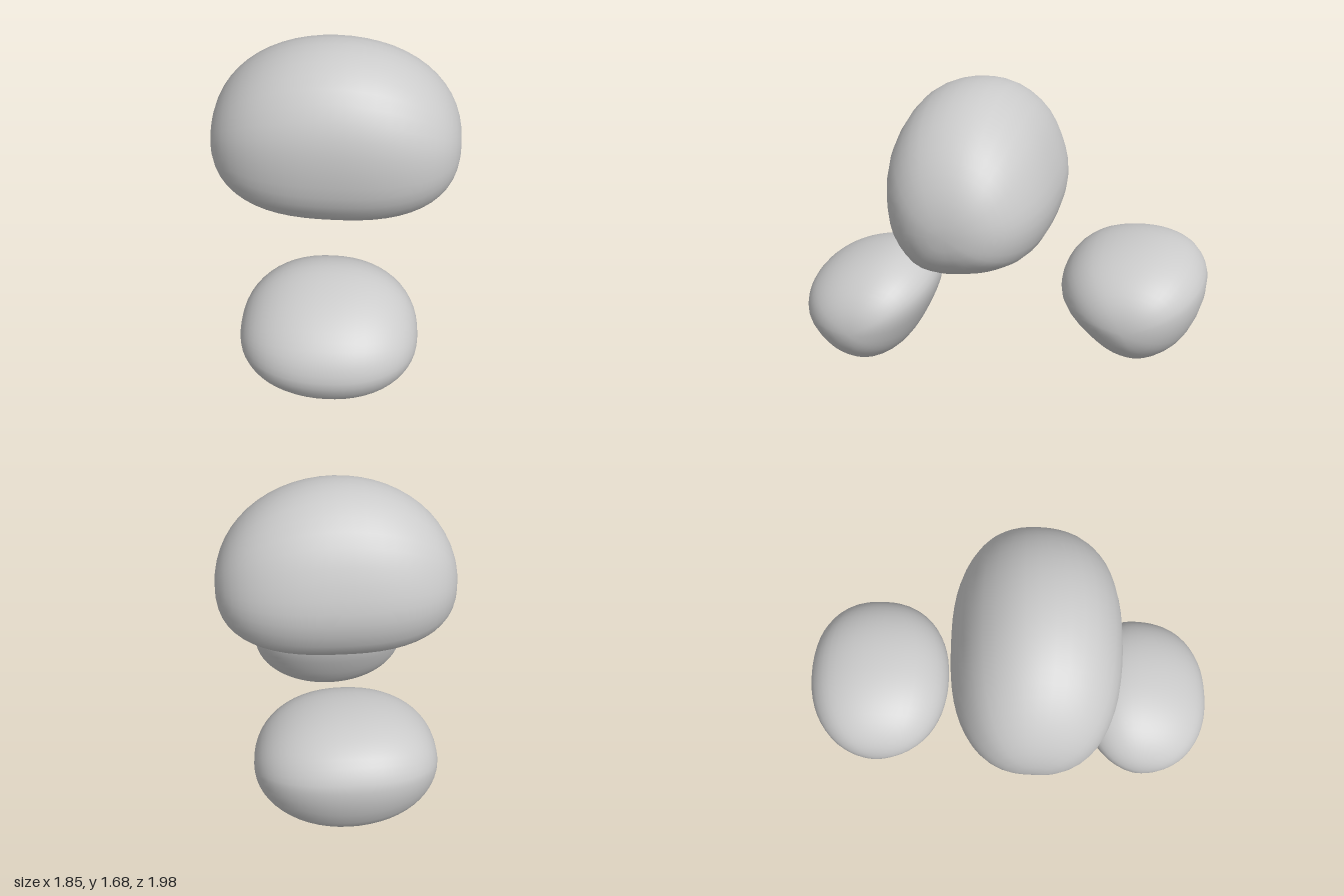
import * as THREE from 'three';
import { mergeVertices } from 'three/addons/utils/BufferGeometryUtils.js';

const material = new THREE.MeshStandardMaterial({ color: 0xcccccc });

// Smooth closed blob: a cross-section (counter-clockwise) swept along z and
// shrunk towards both ends by superellipse rules for width, top and bottom.
function blob(name, profile, halfLength, powers) {
  const curve = new THREE.CatmullRomCurve3(
    profile.map(([x, y]) => new THREE.Vector3(x, y, 0)), true, 'centripetal');
  let geometry = new THREE.SphereGeometry(1, 40, 28).rotateX(Math.PI / 2);
  const pos = geometry.attributes.position;
  const shrink = (t, p) => Math.pow(Math.max(0, 1 - Math.pow(Math.abs(t), p)), 1 / p);
  for (let i = 0; i < pos.count; i++) {
    const t = THREE.MathUtils.clamp(pos.getZ(i), -1, 1);
    const u = (Math.atan2(pos.getY(i), pos.getX(i)) / (2 * Math.PI) + 1) % 1;
    const p = curve.getPoint(u);
    pos.setXYZ(i,
      p.x * shrink(t, powers.width),
      p.y * shrink(t, p.y > 0 ? powers.top : powers.bottom),
      t * halfLength);
  }
  // Weld the seam so that the shading is continuous
  geometry.deleteAttribute('uv');
  geometry.deleteAttribute('normal');
  geometry = mergeVertices(geometry, 1e-4);
  geometry.computeVertexNormals();
  const mesh = new THREE.Mesh(geometry, material);
  mesh.name = name;
  return mesh;
}

const mirror = (points) => points.map(([x, y]) => [-x, y]).reverse();

export function createModel() {
  const model = new THREE.Group();
  model.name = 'lobes';

  // Tilted frame: x joins the two small lobes, y points to the large one
  const frame = new THREE.Group();
  frame.name = 'lobeFrame';
  frame.position.set(0, 0.474, 0);
  frame.rotation.set(0, 0.856, 0.183);
  model.add(frame);

  // Large dome-shaped lobe, symmetric in cross-section
  const half = [[0.425, -0.11], [0.43, 0.09], [0.36, 0.34], [0.2, 0.51]];
  const foot = [[0.15, -0.355], [0.32, -0.29]];
  const right = [...foot, ...half];
  const dome = [...right, [0, 0.56], ...mirror(right), [0, -0.365]];
  const large = blob('largeLobe', dome, 0.65, { width: 2.5, top: 2, bottom: 2.6 });
  large.position.set(0, 0.67, -0.01);
  frame.add(large);

  // Small lobes: flat top, blunt nose towards the middle, round outside
  const drop = [
    [0.38, 0.04], [0.33, 0.18], [0.2, 0.27], [0, 0.315], [-0.2, 0.3], [-0.33, 0.22],
    [-0.38, 0.1], [-0.28, -0.1], [-0.12, -0.27], [0.05, -0.32], [0.25, -0.22],
  ];
  const powers = { width: 2.2, top: 2.2, bottom: 2 };
  const upper = blob('upperSmallLobe', drop, 0.455, powers);
  upper.position.x = 0.76;
  const lower = blob('lowerSmallLobe', mirror(drop), 0.455, powers);
  lower.position.x = -0.76;
  frame.add(upper, lower);

  return model;
}
